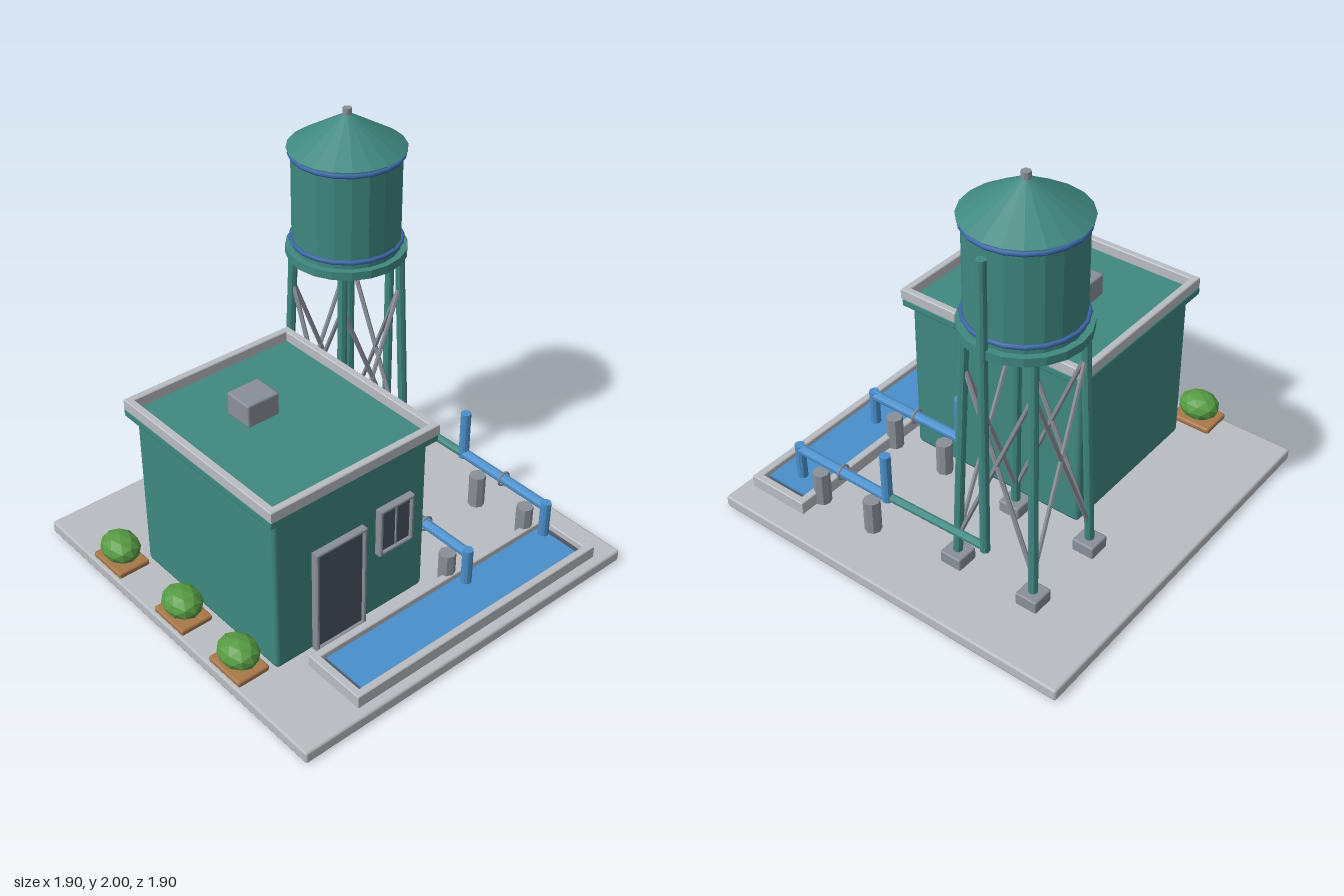
import * as THREE from 'three';
import { RoundedBoxGeometry } from 'three/addons/geometries/RoundedBoxGeometry.js';

const paint = (name, color) => {
  const m = new THREE.MeshStandardMaterial({ color });
  m.name = name;
  return m;
};

export function createModel() {
  const model = new THREE.Group();
  model.name = 'waterStation';
  const teal = paint('teal paint', 0x3f8880);
  const concrete = paint('concrete', 0xb9bcc1);
  const steel = paint('grey steel', 0x8a8f98);
  const dark = paint('dark panel', 0x4b5563);
  const blue = paint('blue pipe', 0x4a8fcb);
  const hoopBlue = paint('hoop blue', 0x3b68a8);
  const leaf = paint('leaf green', 0x569a42);
  const wood = paint('planter wood', 0xa97849);

  // Faceted normals
  const flat = (geo) => {
    const g = geo.index ? geo.toNonIndexed() : geo;
    g.computeVertexNormals();
    return g;
  };
  const add = (name, geo, mat, x = 0, y = 0, z = 0, parent = model) => {
    const mesh = new THREE.Mesh(geo, mat);
    mesh.name = name;
    mesh.position.set(x, y, z);
    parent.add(mesh);
    return mesh;
  };
  // Box given by its limits, with an optional bevel
  const box = (name, mat, x0, x1, y0, y1, z0, z1, bevel = 0, parent = model) => {
    const s = [x1 - x0, y1 - y0, z1 - z0];
    const geo = bevel ? new RoundedBoxGeometry(...s, 1, bevel) : new THREE.BoxGeometry(...s);
    return add(name, geo, mat, (x0 + x1) / 2, (y0 + y1) / 2, (z0 + z1) / 2, parent);
  };
  // Round bar between two points
  const rod = (name, mat, a, b, r, sides = 10, parent = model) => {
    const p = new THREE.Vector3(...a), q = new THREE.Vector3(...b);
    const dir = q.clone().sub(p);
    const mesh = add(name, flat(new THREE.CylinderGeometry(r, r, dir.length(), sides)), mat, 0, 0, 0, parent);
    mesh.position.copy(p).add(q).multiplyScalar(0.5);
    mesh.quaternion.setFromUnitVectors(new THREE.Vector3(0, 1, 0), dir.normalize());
    return mesh;
  };
  const rectangle = (target, x0, x1, y0, y1) => {
    target.moveTo(x0, y0);
    target.lineTo(x1, y0);
    target.lineTo(x1, y1);
    target.lineTo(x0, y1);
    target.closePath();
    return target;
  };
  // Rectangular frame, extruded along z
  const frame = (x0, x1, y0, y1, t, depth, bevel = 0.004) => {
    const b = bevel;
    const shape = rectangle(new THREE.Shape(), x0 + b, x1 - b, y0 + b, y1 - b);
    shape.holes.push(rectangle(new THREE.Path(), x0 + t - b, x1 - t + b, y0 + t - b, y1 - t + b));
    const geo = new THREE.ExtrudeGeometry(shape, {
      depth: depth - 2 * b, bevelEnabled: true, bevelThickness: b, bevelSize: b, bevelSegments: 1,
    });
    return geo.translate(0, 0, b);
  };
  // The same frame lying down, from y0 up
  const flatFrame = (name, mat, x0, x1, y0, y1, z0, z1, t, parent) =>
    add(name, frame(x0, x1, -z1, -z0, t, y1 - y0).rotateX(-Math.PI / 2), mat, 0, y0, 0, parent);
  const group = (name) => {
    const g = new THREE.Group();
    g.name = name;
    model.add(g);
    return g;
  };

  // Ground slab
  box('groundSlab', concrete, -0.95, 0.95, 0, 0.06, -0.95, 0.95, 0.012);

  // Pump house
  const house = group('pumpHouse');
  box('walls', teal, -0.745, 0.095, 0.055, 0.86, -0.44, 0.51, 0.02, house);
  box('roofSlab', teal, -0.78, 0.13, 0.86, 0.9, -0.48, 0.54, 0.008, house);
  flatFrame('parapet', concrete, -0.78, 0.13, 0.895, 0.95, -0.475, 0.545, 0.035, house);
  box('roofHatch', steel, -0.46, -0.29, 0.895, 1.01, -0.16, -0.01, 0.01, house);
  box('doorPanel', dark, -0.54, -0.28, 0.06, 0.59, 0.505, 0.53, 0, house);
  add('doorFrame', frame(-0.55, -0.27, 0.06, 0.6, 0.016, 0.04), steel, 0, 0, 0.505, house);
  box('windowPane', dark, -0.185, -0.005, 0.405, 0.635, 0.505, 0.53, 0, house);
  add('windowFrame', frame(-0.195, 0, 0.395, 0.64, 0.017, 0.04), steel, 0, 0, 0.505, house);
  box('windowMullion', steel, -0.101, -0.094, 0.41, 0.625, 0.51, 0.537, 0, house);

  // Water trough
  const trough = group('trough');
  flatFrame('troughWall', concrete, -0.63, 0.82, 0.055, 0.122, 0.58, 0.9, 0.038, trough);
  box('troughLining', dark, -0.6, 0.79, 0.055, 0.09, 0.6, 0.88, 0, trough);
  box('troughWater', blue, -0.565, 0.75, 0.09, 0.098, 0.622, 0.86, 0, trough);

  // Water tower
  const tower = group('waterTower');
  tower.position.set(0.4, 0, -0.37);
  const cyl = (name, mat, r0, r1, y0, y1, sides = 20) =>
    add(name, flat(new THREE.CylinderGeometry(r1, r0, y1 - y0, sides)), mat, 0, (y0 + y1) / 2, 0, tower);
  cyl('platform', teal, 0.28, 0.28, 1.3, 1.34);
  cyl('tank', teal, 0.25, 0.25, 1.34, 1.82);
  cyl('tankRoof', teal, 0.27, 0.012, 1.82, 1.975);
  cyl('finial', steel, 0.021, 0.021, 1.95, 2, 10);
  for (const y of [1.375, 1.795])
    add('hoop', new THREE.TorusGeometry(0.254, 0.011, 6, 20).rotateX(Math.PI / 2), hoopBlue, 0, y, 0, tower);

  // Legs, footings and cross braces on each side
  const corners = [[-1, 1], [1, 1], [1, -1], [-1, -1]];
  const onLeg = ([sx, sz], y) => {
    const o = 0.207 - 0.035 * (y - 0.1) / 1.2;
    return [sx * o, y, sz * o];
  };
  corners.forEach((c, i) => {
    const next = corners[(i + 1) % 4];
    rod('leg', teal, onLeg(c, 0.1), onLeg(c, 1.31), 0.022, 8, tower);
    const [x, , z] = onLeg(c, 0.1);
    box('footing', steel, x - 0.056, x + 0.056, 0.055, 0.12, z - 0.056, z + 0.056, 0.008, tower);
    rod('brace', steel, onLeg(c, 0.2), onLeg(next, 1.13), 0.011, 6, tower);
    rod('brace', steel, onLeg(next, 0.2), onLeg(c, 1.13), 0.011, 6, tower);
  });

  // Supply pipe down from the tank
  rod('riserPipe', teal, [0.672, 0.285, -0.37], [0.672, 1.75, -0.37], 0.022);
  rod('supplyPipe', teal, [0.672, 0.305, -0.385], [0.685, 0.305, 0.17], 0.02);

  // Outlet pipes with flanges and posts
  for (const x of [0.187, 0.69]) {
    const outlet = group('outletPipe');
    rod('upright', blue, [x, 0.285, 0.165], [x, 0.54, 0.165], 0.025, 10, outlet);
    rod('run', blue, [x, 0.305, 0.165], [x, 0.305, 0.7], 0.025, 10, outlet);
    rod('spout', blue, [x, 0.145, 0.698], [x, 0.328, 0.698], 0.025, 10, outlet);
    add('flange', new THREE.TorusGeometry(0.034, 0.006, 6, 14), steel, x, 0.305, 0.43, outlet);
    for (const z of [0.265, 0.575])
      rod('pipePost', steel, [x, 0.055, z], [x, 0.23, z], 0.04, 8, outlet);
  }

  // Planters with shrubs
  for (const z of [-0.483, -0.002, 0.4]) {
    const planter = group('planter');
    box('planterBox', wood, -0.925, -0.8, 0.055, 0.085, z - 0.085, z + 0.085, 0, planter);
    box('planterRim', wood, -0.945, -0.78, 0.075, 0.105, z - 0.107, z + 0.107, 0.01, planter);
    const shrub = new THREE.IcosahedronGeometry(1, 1).scale(0.088, 0.07, 0.104);
    add('shrub', flat(shrub), leaf, -0.863, 0.162, z, planter);
  }
  return model;
}
